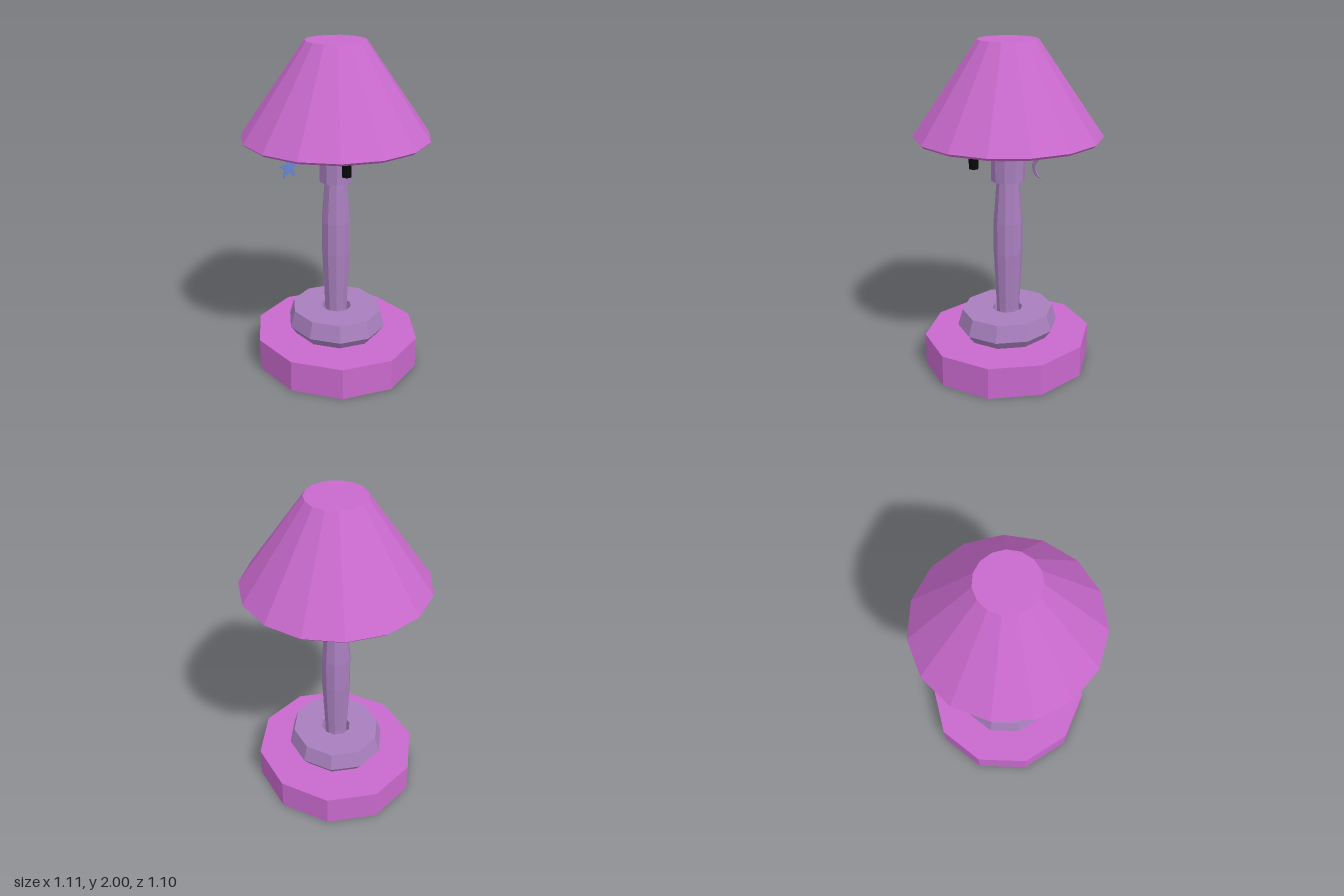
import * as THREE from 'three';

const mat = (color, extra = {}) =>
  new THREE.MeshStandardMaterial({ color, flatShading: true, ...extra });

export function createModel() {
  const lamp = new THREE.Group();
  const pink = mat(0xc869cc);
  const mauve = mat(0xa87fbd);
  const blue = mat(0x6a85d0);
  const black = mat(0x080808);

  const add = (name, geometry, material, x = 0, y = 0, z = 0) => {
    const mesh = new THREE.Mesh(geometry, material);
    mesh.name = name;
    mesh.position.set(x, y, z);
    lamp.add(mesh);
    return mesh;
  };
  // Profiles run from the bottom axis outwards and up, as [radius, height]
  const turned = (name, profile, sides, material) =>
    add(name, new THREE.LatheGeometry(profile.map(p => new THREE.Vector2(...p)), sides), material);

  // Ten-sided foot and the bevelled disc on it, slightly deeper than wide
  const base = turned('base', [[0, 0], [0.498, 0], [0.498, 0.195], [0, 0.195]], 10, pink);
  base.scale.z = 1.05;
  base.position.z = 0.005;
  const disc = turned('baseDisc', [
    [0, 0.19], [0.255, 0.19], [0.298, 0.25], [0.27, 0.352], [0.09, 0.352], [0.09, 0.26], [0, 0.26],
  ], 10, mauve);
  disc.scale.z = 1.06;
  disc.position.z = 0.005;

  // Bulging post, continuing up inside the shade
  turned('post', [
    [0, 0.24], [0.068, 0.26], [0.07, 0.36], [0.088, 0.72], [0.088, 0.92],
    [0.068, 1.18], [0.066, 1.96], [0, 1.96],
  ], 10, mauve);

  // Flared collar at the top of the post
  turned('collar', [
    [0, 1.175], [0.101, 1.175], [0.102, 1.31], [0.128, 1.455], [0.105, 1.5], [0, 1.5],
  ], 10, mauve);

  // Hollow shade with a thin rim and closed top
  const shade = turned('shade', [
    [0, 1.95], [0.165, 1.95], [0.505, 1.455], [0.515, 1.435], [0.54, 1.435],
    [0.556, 1.45], [0.177, 2], [0, 2],
  ], 15, pink);
  shade.rotation.y = Math.PI;

  // Hanging cords
  const cord = (name, x, z, bottom, top, material) =>
    add(name, new THREE.CylinderGeometry(0.002, 0.002, top - bottom, 5), material, x, (top + bottom) / 2, z);

  // Switch pull
  add('pullHandle', new THREE.CylinderGeometry(0.028, 0.028, 0.19, 10), black, -0.081, 1.36, 0.197);
  cord('pullCord', -0.081, 0.197, 1.45, 1.84, black);

  // Star charm
  const star = new THREE.Shape();
  for (let i = 0; i < 10; i++) {
    const r = i % 2 ? 0.03 : 0.076;
    const a = Math.PI / 2 + i * Math.PI / 5;
    star[i ? 'lineTo' : 'moveTo'](r * Math.cos(a), r * Math.sin(a));
  }
  star.closePath();
  const thin = { depth: 0.006, bevelEnabled: false, curveSegments: 12 };
  add('starCharm', new THREE.ExtrudeGeometry(star, thin), blue, -0.252, 1.273, -0.125);
  cord('starCord', -0.252, -0.122, 1.345, 1.76, blue);

  // Crescent charm, opening towards +x
  const moon = new THREE.Shape();
  const tip = 1.19;
  moon.absarc(0, 0, 0.058, tip, Math.PI * 2 - tip, false);
  const inner = Math.PI / 2;
  moon.absarc(0.0215, 0, 0.054, -inner, inner, true);
  moon.closePath();
  add('moonCharm', new THREE.ExtrudeGeometry(moon, thin), mauve, 0.268, 1.303, 0.002);
  cord('moonCord', 0.255, 0.005, 1.35, 1.78, mauve);

  return lamp;
}
